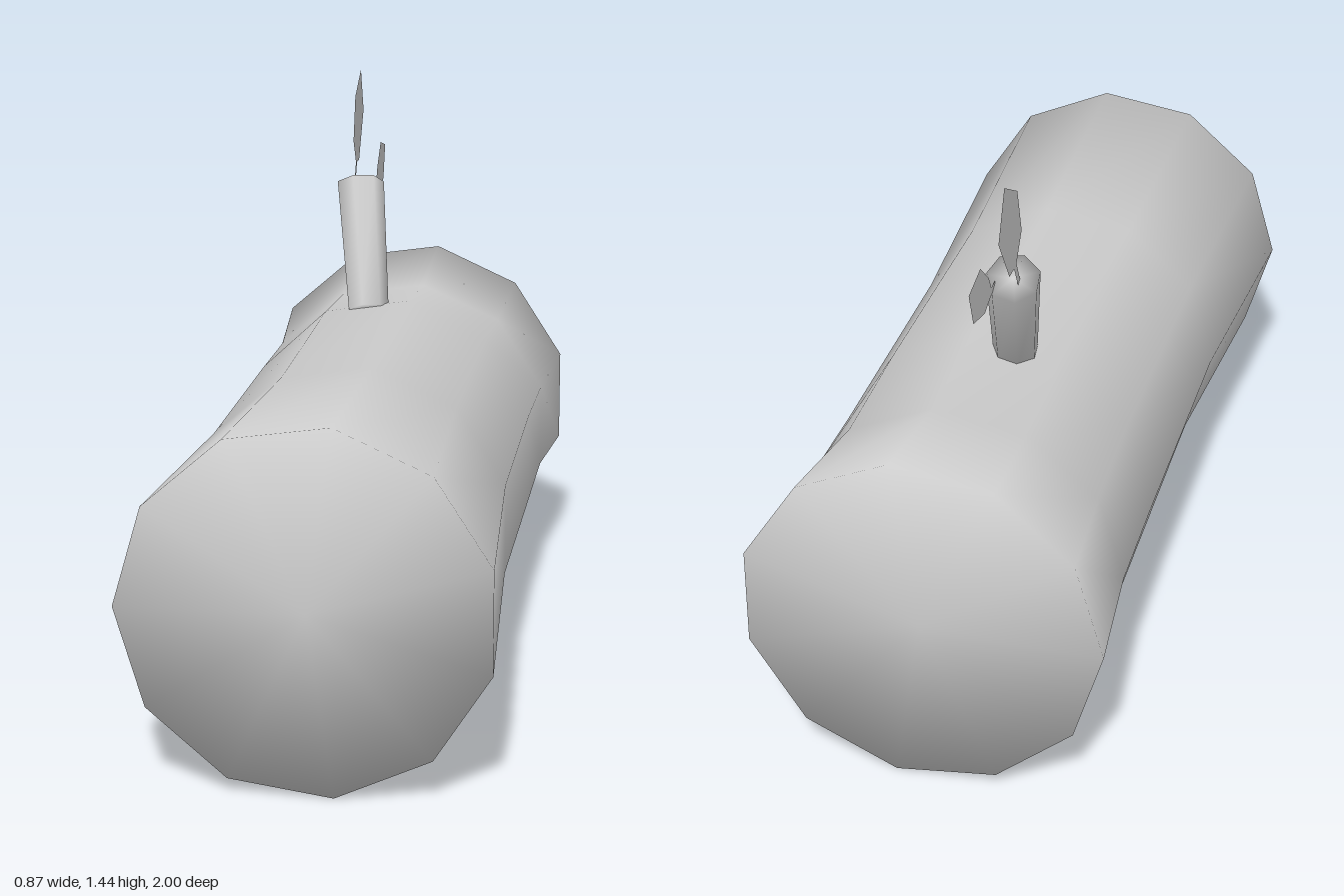
import * as THREE from 'three';

const grey = new THREE.MeshStandardMaterial({ color: 0xcccccc });
const leafGrey = new THREE.MeshStandardMaterial({ color: 0xcccccc, side: THREE.DoubleSide });

// Closed, smooth-shaded loft through rings [z, rx, ry, centreY], z descending
function loft(rings, sides, startAngle) {
  const pos = [], idx = [];
  for (const [z, rx, ry, cy] of rings) {
    for (let j = 0; j < sides; j++) {
      const a = startAngle + (j / sides) * Math.PI * 2;
      pos.push(Math.cos(a) * rx, cy + Math.sin(a) * ry, z);
    }
  }
  const last = (rings.length - 1) * sides;
  const front = rings.length * sides, back = front + 1;
  const end = rings[rings.length - 1];
  pos.push(0, rings[0][3], rings[0][0], 0, end[3], end[0]);
  for (let j = 0; j < sides; j++) {
    const k = (j + 1) % sides;
    for (let i = 0; i < last; i += sides) {
      idx.push(i + j, i + sides + j, i + k, i + k, i + sides + j, i + sides + k);
    }
    idx.push(front, j, k, back, last + k, last + j);
  }
  const geo = new THREE.BufferGeometry();
  geo.setAttribute('position', new THREE.Float32BufferAttribute(pos, 3));
  geo.setIndex(idx);
  geo.computeVertexNormals();
  return geo;
}

// Flat outline given as [z, y] points, standing in the plane x = const
function flatLeaf(points, x) {
  const shape = new THREE.Shape(points.map(([z, y]) => new THREE.Vector2(-z, y)));
  const geo = new THREE.ShapeGeometry(shape);
  geo.rotateY(Math.PI / 2);
  geo.translate(x, 0, 0);
  return geo;
}

export function createModel() {
  const group = new THREE.Group();
  const add = (name, geo, mat) => {
    const mesh = new THREE.Mesh(geo, mat);
    mesh.name = name;
    group.add(mesh);
    return mesh;
  };

  // Eleven-sided trunk with slightly pinched, uneven middle
  add('trunk', loft([
    [1, 0.444, 0.444, 0.443],
    [0.33, 0.405, 0.405, 0.449],
    [-0.36, 0.405, 0.433, 0.433],
    [-0.68, 0.412, 0.402, 0.437],
    [-1, 0.444, 0.444, 0.443],
  ], 11, THREE.MathUtils.degToRad(82)), grey);

  // Stub of a branch leaning backwards
  const base = new THREE.Vector3(-0.055, 0.83, -0.365);
  const tip = new THREE.Vector3(-0.105, 1.145, -0.555);
  const axis = tip.clone().sub(base);
  const branch = add('branch', loft([
    [axis.length(), 0.066, 0.066, 0],
    [0, 0.056, 0.056, 0],
  ], 7, 0.3), grey);
  branch.position.copy(base);
  branch.quaternion.setFromUnitVectors(new THREE.Vector3(0, 0, 1), axis.normalize());

  // Two flat leaves on thin stems
  add('largeLeaf', flatLeaf([
    [-0.545, 1.13], [-0.58, 1.2], [-0.536, 1.265], [-0.57, 1.383], [-0.675, 1.443],
    [-0.724, 1.324], [-0.638, 1.196], [-0.6, 1.197], [-0.565, 1.13],
  ], -0.12), leafGrey);
  add('smallLeaf', flatLeaf([
    [-0.575, 1.145], [-0.606, 1.142], [-0.627, 1.18], [-0.692, 1.238], [-0.783, 1.217],
    [-0.75, 1.126], [-0.66, 1.104], [-0.612, 1.122], [-0.575, 1.125],
  ], -0.067), leafGrey);

  return group;
}
